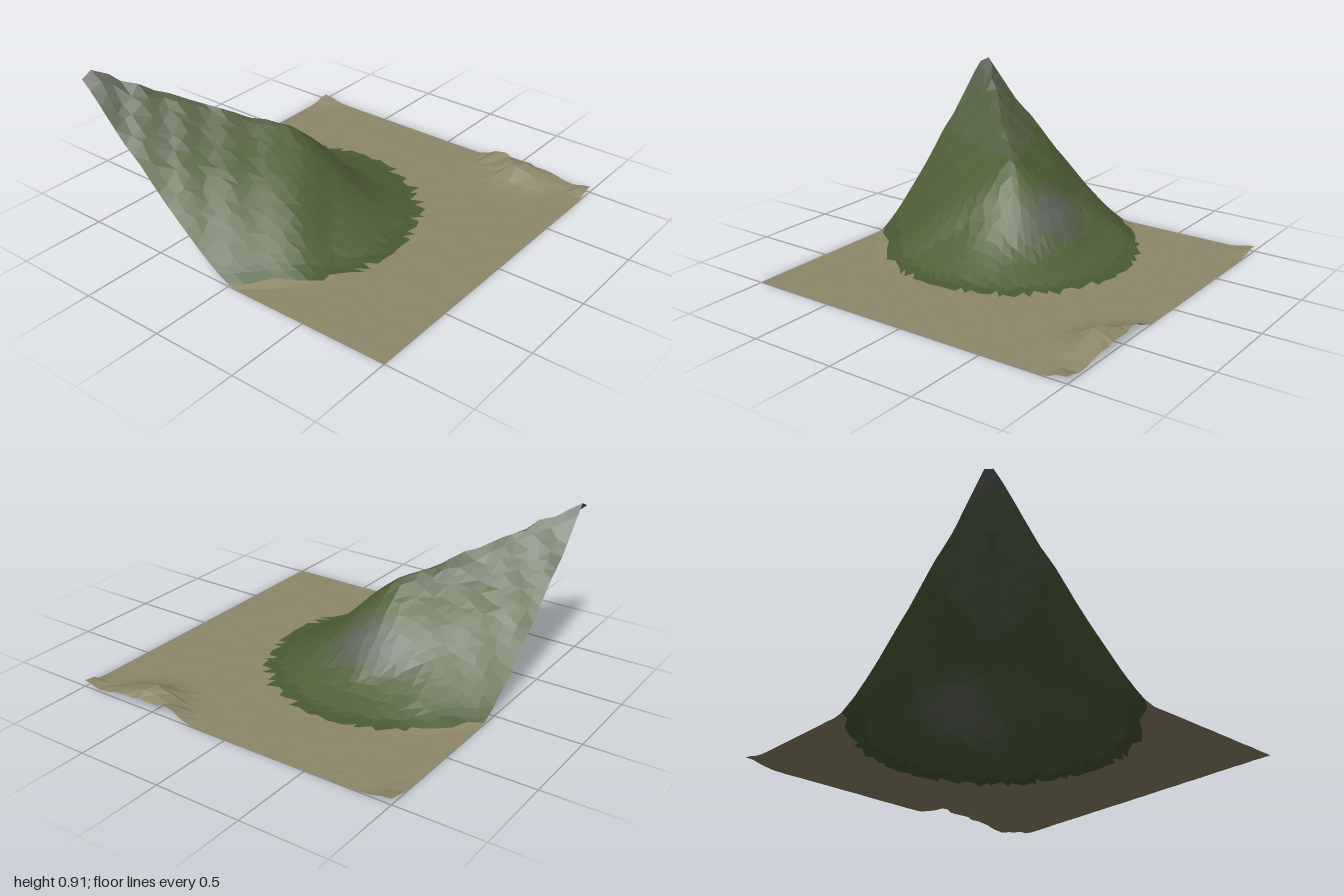
import * as THREE from 'three';

const SEGMENTS = 34;

// Seeded noise in -1..1
let seed = 7;
function rand() {
  seed = (seed * 16807) % 2147483647;
  return (seed / 2147483647) * 2 - 1;
}

// Piecewise linear lookup in [position, value] pairs
function lookup(table, t) {
  if (t <= table[0][0]) return table[0][1];
  for (let i = 1; i < table.length; i++) {
    const [a, va] = table[i - 1], [b, vb] = table[i];
    if (t <= b) return va + ((vb - va) * (t - a)) / (b - a);
  }
  return table[table.length - 1][1];
}

// Height of the crest by x, and slope profiles by distance from it
const CREST = [[-1, 0.92], [-0.95, 0.9], [-0.88, 0.84], [-0.82, 0.83], [-0.73, 0.765], [-0.66, 0.745],
  [-0.59, 0.685], [-0.5, 0.655], [-0.41, 0.595], [-0.34, 0.575], [-0.27, 0.54]];
const FLANK = [[0, 1], [0.15, 0.81], [0.31, 0.62], [0.45, 0.42], [0.59, 0.215], [0.68, 0.09], [0.74, 0.02], [0.78, 0]];
const NOSE = [[0, 1], [0.13, 0.79], [0.27, 0.54], [0.38, 0.36], [0.47, 0.23], [0.58, 0.1], [0.65, 0.025], [0.7, 0]];
const STEEP = [[0, 1], [0.23, 0.63], [0.33, 0.42], [0.43, 0.19], [0.53, 0.07], [0.62, 0.02], [0.7, 0]];
const RIDGE_SUM = -0.05;
const END_X = -0.27;

const bump = (x, z, cx, cz, rx, rz) => Math.exp(-(((x - cx) / rx) ** 2) - ((z - cz) / rz) ** 2);

// Closest point on the diagonal ridge, which ends inside the patch
function ridge(x, z) {
  const along = (x - z + RIDGE_SUM) / 2;
  const rx = Math.min(along, END_X);
  const rz = RIDGE_SUM - rx;
  return { rx, past: Math.max(0, along - END_X), dist: Math.hypot(x - rx, z - rz) };
}

function hillHeight(x, z) {
  const { rx, past, dist } = ridge(x, z);
  const nose = Math.min(1, past / 0.15);
  const steep = bump(x, z, -0.22, -0.2, 0.36, 0.34);
  const slope = THREE.MathUtils.lerp(lookup(FLANK, dist), lookup(NOSE, dist), nose);
  return lookup(CREST, rx) * THREE.MathUtils.lerp(slope, lookup(STEEP, dist), steep);
}

// Small rough mounds at the far edge
function moundHeight(x, z) {
  return 0.075 * bump(x, z, 0.57, -0.9, 0.14, 0.13)
    + 0.055 * bump(x, z, 0.39, -1, 0.09, 0.1)
    + 0.035 * bump(x, z, 0.73, -0.98, 0.1, 0.14)
    + 0.045 * bump(x, z, 1, -1, 0.08, 0.08)
    + 0.035 * bump(x, z, -1, -1, 0.1, 0.1);
}

// Jittered grid of terrain points; its diagonals run along the ridge
function terrainGrid() {
  const grid = new THREE.PlaneGeometry(2, 2, SEGMENTS, SEGMENTS).rotateX(-Math.PI / 2);
  const p = grid.attributes.position;
  const jitter = (2 / SEGMENTS) * 0.28;
  for (let i = 0; i < p.count; i++) {
    const x0 = p.getX(i), z0 = p.getZ(i);
    const jx = rand() * jitter, jz = rand() * jitter, n = rand();
    const x = Math.abs(x0) < 0.999 ? x0 + jx : x0;
    const z = Math.abs(z0) < 0.999 ? z0 + jz : z0;
    // Crest points keep their full height, so the crest line stays sharp and jagged
    const onCrest = ridge(x0, z0).dist < 0.02;
    const hill = onCrest ? hillHeight(x0, z0) + 0.008 * n : hillHeight(x, z);
    const y = hill + moundHeight(x, z) * (1 + 0.2 * n) + 0.001 * (1 + n);
    p.setXYZ(i, x, y, z);
  }
  return grid;
}

export function createModel() {
  seed = 7;
  const model = new THREE.Group();
  model.name = 'terrain';

  // Ground covers: sand, and grass fading to bare rock in steps
  const grass = new THREE.Color(0x506038), rock = new THREE.Color(0x62665f);
  const covers = [{ name: 'sandyGround', color: new THREE.Color(0x8e876a), points: [] }];
  const names = ['grassySlope', 'thinGrass', 'patchyGrass', 'stonyGrass', 'bareRock'];
  names.forEach((name, i) => covers.push({
    name, color: grass.clone().lerp(rock, i / 4), points: [],
  }));
  covers.push({ name: 'grassFringe', color: new THREE.Color(0x4a5a35), points: [] });

  // Sort each triangle into its cover
  const grid = terrainGrid();
  const p = grid.attributes.position, index = grid.index;
  const corner = new THREE.Vector3(), centre = new THREE.Vector3();
  for (let f = 0; f < index.count; f += 3) {
    const points = [];
    centre.set(0, 0, 0);
    for (let k = 0; k < 3; k++) {
      corner.fromBufferAttribute(p, index.getX(f + k));
      centre.addScaledVector(corner, 1 / 3);
      points.push(corner.x, corner.y, corner.z);
    }
    const { x, y, z } = centre;
    const { dist } = ridge(x, z);
    let cover = 0;
    if (dist < 0.745) {
      const bare = Math.max(
        bump(x, z, -0.27, -0.08, 0.24, 0.09),
        0.4 * THREE.MathUtils.clamp((y - 0.4) / 0.4, 0, 1),
        THREE.MathUtils.clamp((y - 0.82) / 0.05, 0, 1),
      );
      cover = dist > 0.66 ? 6 : 1 + Math.round(4 * bare);
    }
    covers[cover].points.push(...points);
  }

  // One faceted mesh per cover, open underneath
  for (const { name, color, points } of covers) {
    const geometry = new THREE.BufferGeometry();
    geometry.setAttribute('position', new THREE.Float32BufferAttribute(points, 3));
    geometry.computeVertexNormals();
    const material = new THREE.MeshStandardMaterial({ color, flatShading: true, side: THREE.DoubleSide });
    const mesh = new THREE.Mesh(geometry, material);
    mesh.name = name;
    model.add(mesh);
  }
  return model;
}
